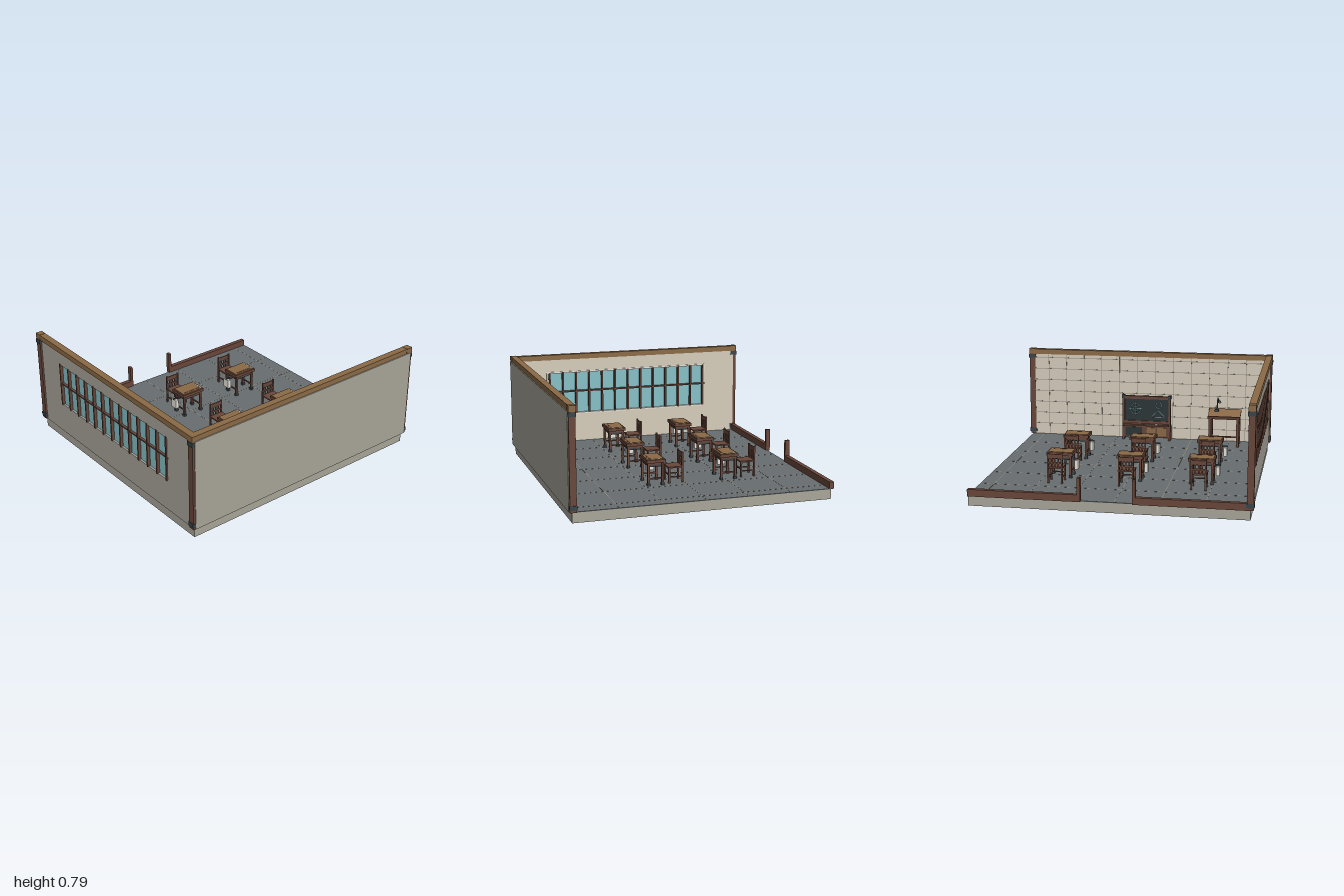
import * as THREE from 'three';

const mat = (name, color, side = THREE.FrontSide) => {
  const m = new THREE.MeshStandardMaterial({ color, side });
  m.name = name;
  return m;
};

export function createModel() {
  const stone = mat('grey stone', 0xa9a69a), plaster = mat('cream plaster', 0xd6cdbb);
  const slate = mat('floor slate', 0x686d6f), oak = mat('oak', 0x8b6a46);
  const walnut = mat('dark walnut', 0x69473b), iron = mat('dark iron', 0x39454a);
  const glass = mat('teal glass', 0x86c0c7, THREE.DoubleSide), white = mat('white', 0xf0ece2);
  const grout = mat('grout', 0x918c82), board = mat('board black', 0x2c3536);

  const model = new THREE.Group();
  model.name = 'classroom';
  const group = (name, parent = model) => {
    const g = new THREE.Group();
    g.name = name;
    parent.add(g);
    return g;
  };
  const add = (parent, name, geo, m) => {
    const mesh = new THREE.Mesh(geo, m);
    mesh.name = name;
    parent.add(mesh);
    return mesh;
  };
  // box given by its limits on each axis
  const box = (parent, name, m, x0, x1, y0, y1, z0, z1) => {
    const mesh = add(parent, name, new THREE.BoxGeometry(x1 - x0, y1 - y0, z1 - z0), m);
    mesh.position.set((x0 + x1) / 2, (y0 + y1) / 2, (z0 + z1) / 2);
    return mesh;
  };
  // round bar between two points
  const rod = (parent, name, m, a, b, r) => {
    const p = new THREE.Vector3(...a), d = new THREE.Vector3(...b).sub(p);
    const mesh = add(parent, name, new THREE.CylinderGeometry(r, r, d.length(), 8), m);
    mesh.position.copy(p).addScaledVector(d, 0.5);
    mesh.quaternion.setFromUnitVectors(new THREE.Vector3(0, 1, 0), d.normalize());
    return mesh;
  };

  // floor slab with tile joints
  const floor = group('floor');
  box(floor, 'slab', stone, -0.97, 0.97, 0, 0.07, -0.925, 0.92);
  box(floor, 'floorTop', slate, -0.97, 0.97, 0.07, 0.075, -0.925, 0.92);
  for (let i = 0; i < 6; i++) {
    const x = -0.66 + i * 0.306, z = -0.625 + i * 0.306;
    box(floor, 'tileJoint', grout, x - 0.002, x + 0.002, 0.074, 0.0758, -0.91, 0.89);
    if (z < 0.88) box(floor, 'tileJoint', grout, -0.94, 0.97, 0.074, 0.0758, z - 0.002, z + 0.002);
  }

  // front wall: stone outside, tiled plaster inside
  const front = group('frontWall');
  box(front, 'outerFace', stone, -0.975, 0.975, 0.077, 0.748, 0.915, 0.943);
  box(front, 'innerFace', plaster, -0.965, 0.965, 0.075, 0.748, 0.893, 0.916);
  for (let y = 0.165; y < 0.74; y += 0.092)
    box(front, 'wallJoint', grout, -0.94, 0.955, y - 0.0025, y + 0.0025, 0.8915, 0.894);
  for (let i = 0; i < 12; i++) {
    const x = 0.83 - i * 0.147;
    box(front, 'wallJoint', grout, x - 0.002, x + 0.002, 0.075, 0.745, 0.8915, 0.894);
  }

  // left-hand wall with a long window opening
  const side = group('sideWall');
  const rect = (P, z0, z1, y0, y1) => {
    const p = new P();
    p.moveTo(z0, y0); p.lineTo(z1, y0); p.lineTo(z1, y1); p.lineTo(z0, y1); p.closePath();
    return p;
  };
  const pierced = (name, m, outer, inner, x, depth) => {
    const s = rect(THREE.Shape, ...outer);
    s.holes.push(rect(THREE.Path, ...inner));
    const geo = new THREE.ExtrudeGeometry(s, { depth, bevelEnabled: false });
    add(side, name, geo.rotateY(-Math.PI / 2), m).position.x = x;
  };
  const opening = [-0.655, 0.645, 0.31, 0.636];
  pierced('innerFace', plaster, [-0.925, 0.915, 0.072, 0.748], opening, -0.945, 0.016);
  pierced('outerFace', stone, [-0.925, 0.92, 0.072, 0.748], opening, -0.961, 0.017);
  pierced('windowSurround', white, [-0.668, 0.66, 0.3, 0.648], opening, -0.938, 0.009);
  box(side, 'windowPane', glass, -0.963, -0.959, 0.308, 0.638, -0.657, 0.647);
  for (let i = 0; i < 13; i++) {
    const z = 0.636 - i * 0.1075;
    box(side, 'mullion', walnut, -0.985, -0.932, 0.305, 0.645, z - 0.006, z + 0.006);
  }
  box(side, 'transom', walnut, -0.98, -0.932, 0.48, 0.49, -0.668, 0.66);

  // corner posts with iron bands, and top beams
  const frame = group('timberFrame');
  for (const [x, z] of [[-0.968, 0.915], [0.968, 0.915], [-0.968, -0.925]]) {
    box(frame, 'cornerPost', walnut, x - 0.023, x + 0.023, 0.075, 0.75, z - 0.023, z + 0.023);
    for (const y of [0.107, 0.727])
      box(frame, 'ironBand', iron, x - 0.028, x + 0.028, y - 0.015, y + 0.015, z - 0.026, z + 0.026);
    box(frame, 'postCap', oak, x - 0.025, x + 0.025, 0.744, 0.787, z - 0.024, z + 0.024);
  }
  box(frame, 'frontBeam', oak, -0.99, 0.99, 0.745, 0.785, 0.887, 0.936);
  box(frame, 'sideBeam', oak, -0.991, -0.942, 0.745, 0.785, -0.945, 0.9);

  // low rear sill with a door gap
  const sill = group('rearSill');
  for (const s of [-1, 1]) {
    const span = (name, a, b, y1) =>
      box(sill, name, walnut, Math.min(s * a, s * b), Math.max(s * a, s * b), 0.072, y1, -0.946, -0.912);
    span('sillRail', 0.18, 0.97, 0.122);
    span('doorPost', 0.178, 0.2, 0.24);
  }

  // pupil desk, centred on its top
  const makeDesk = (x, z) => {
    const g = group('pupilDesk');
    g.position.set(x, 0.075, z);
    box(g, 'topFrame', walnut, -0.096, 0.096, 0.165, 0.187, -0.069, 0.069);
    box(g, 'topPanel', oak, -0.086, 0.086, 0.18, 0.191, -0.06, 0.06);
    box(g, 'pencilGroove', walnut, -0.068, 0.068, 0.19, 0.1925, 0.034, 0.046);
    box(g, 'edgeTrim', white, 0.082, 0.086, 0.19, 0.1918, -0.058, 0.058);
    box(g, 'drawerBox', walnut, -0.08, 0.08, 0.148, 0.166, -0.058, 0.058);
    box(g, 'ironTray', iron, -0.074, 0.074, 0.134, 0.15, -0.05, 0.05);
    for (const sx of [-1, 1]) {
      for (const sz of [-1, 1]) {
        const px = sx * 0.076, pz = sz * 0.052;
        box(g, 'leg', walnut, px - 0.008, px + 0.008, 0, 0.166, pz - 0.008, pz + 0.008);
        box(g, 'ironFoot', iron, px - 0.011, px + 0.011, 0, 0.018, pz - 0.011, pz + 0.011);
      }
      box(g, 'sideRail', walnut, sx * 0.076 - 0.004, sx * 0.076 + 0.004, 0.045, 0.055, -0.05, 0.05);
    }
    // satchel on a hook
    box(g, 'satchel', white, -0.128, -0.102, 0.062, 0.13, -0.042, 0.014);
    box(g, 'satchelHook', iron, -0.132, -0.09, 0.13, 0.14, -0.018, -0.01);
  };

  // pupil chair, back towards -z
  const makeChair = (x, z) => {
    const g = group('pupilChair');
    g.position.set(x, 0.075, z);
    box(g, 'seat', walnut, -0.057, 0.057, 0.108, 0.118, -0.054, 0.056);
    for (const s of [-1, 1]) {
      const px = s * 0.05;
      box(g, 'backPost', walnut, px - 0.006, px + 0.006, 0, 0.22, -0.057, -0.045);
      box(g, 'frontLeg', walnut, px - 0.006, px + 0.006, 0, 0.11, 0.042, 0.054);
      box(g, 'sideRung', walnut, px - 0.004, px + 0.004, 0.04, 0.048, -0.05, 0.05);
    }
    box(g, 'frontRung', walnut, -0.05, 0.05, 0.055, 0.063, 0.044, 0.052);
    box(g, 'backTopRail', walnut, -0.05, 0.05, 0.182, 0.214, -0.055, -0.047);
    box(g, 'backLowRail', walnut, -0.05, 0.05, 0.143, 0.155, -0.055, -0.047);
    for (const px of [-0.024, 0, 0.024])
      box(g, 'backSlat', walnut, px - 0.005, px + 0.005, 0.118, 0.185, -0.054, -0.048);
  };
  for (const x of [-0.58, -0.067, 0.443])
    for (const z of [-0.332, 0.211]) {
      makeDesk(x, z);
      makeChair(x + 0.003, z - 0.156);
    }

  // sloping drafting table
  const table = group('draftingTable');
  const top = box(table, 'slopingTop', oak, -0.76, -0.503, 0.318, 0.332, 0.694, 0.852);
  top.rotation.x = -0.26;
  const lip = box(table, 'tableLip', walnut, -0.76, -0.503, 0.298, 0.322, 0.694, 0.702);
  lip.rotation.x = -0.26;
  for (const x of [-0.742, -0.521]) {
    box(table, 'frontLeg', walnut, x - 0.011, x + 0.011, 0.075, 0.302, 0.702, 0.724);
    box(table, 'rearLeg', walnut, x - 0.011, x + 0.011, 0.075, 0.335, 0.818, 0.84);
    box(table, 'sideRung', walnut, x - 0.006, x + 0.006, 0.118, 0.13, 0.71, 0.83);
  }
  box(table, 'backRung', walnut, -0.74, -0.52, 0.118, 0.13, 0.825, 0.835);

  // jointed desk lamp
  const lamp = group('deskLamp');
  box(lamp, 'lampBase', iron, -0.581, -0.549, 0.337, 0.353, 0.798, 0.828);
  rod(lamp, 'lowerArm', iron, [-0.565, 0.35, 0.815], [-0.57, 0.44, 0.83], 0.005);
  rod(lamp, 'upperArm', iron, [-0.57, 0.44, 0.83], [-0.588, 0.428, 0.775], 0.005);
  const shade = add(lamp, 'lampShade', new THREE.CylinderGeometry(0.007, 0.015, 0.018, 12), iron);
  shade.position.set(-0.59, 0.425, 0.768);

  // blackboard on a cabinet, facing -z
  const bb = group('blackboard');
  const cx = 0.008;
  for (const s of [-1, 1]) {
    const x = cx + s * 0.188;
    box(bb, 'upright', walnut, x - 0.009, x + 0.009, 0.075, 0.44, 0.82, 0.85);
    box(bb, 'footBlock', walnut, x - 0.009, x + 0.009, 0.075, 0.185, 0.815, 0.89);
    box(bb, 'ironCorner', iron, x - 0.011, x + 0.011, 0.415, 0.444, 0.817, 0.853);
  }
  box(bb, 'topRail', walnut, cx - 0.185, cx + 0.185, 0.412, 0.436, 0.82, 0.848);
  box(bb, 'lowRail', walnut, cx - 0.185, cx + 0.185, 0.21, 0.232, 0.82, 0.848);
  box(bb, 'panel', board, cx - 0.182, cx + 0.182, 0.228, 0.416, 0.83, 0.846);
  box(bb, 'chalkTray', walnut, cx - 0.185, cx + 0.185, 0.196, 0.208, 0.787, 0.85);
  box(bb, 'cabinet', walnut, cx - 0.182, cx + 0.182, 0.095, 0.19, 0.82, 0.885);
  box(bb, 'cabinetOpening', board, cx + 0.035, cx + 0.17, 0.105, 0.18, 0.816, 0.821);
  for (const x of [-0.04, -0.125])
    box(bb, 'cabinetDoor', oak, cx + x - 0.036, cx + x + 0.036, 0.108, 0.178, 0.816, 0.821);
  for (let i = 0; i < 3; i++)
    box(bb, 'chalk', white, cx - 0.1 + i * 0.07, cx - 0.075 + i * 0.07, 0.207, 0.212, 0.8, 0.805);

  // chalk diagrams
  const ring = (x, y, r) =>
    add(bb, 'chalkCircle', new THREE.TorusGeometry(r, 0.0025, 4, 24), glass).position.set(x, y, 0.829);
  ring(cx + 0.09, 0.33, 0.042);
  ring(cx + 0.09, 0.33, 0.018);
  ring(cx - 0.1, 0.36, 0.024);
  for (const [x0, y0, x1, y1] of [[0.04, 0.33, 0.14, 0.33], [0.09, 0.28, 0.09, 0.385],
    [-0.15, 0.265, -0.04, 0.265], [-0.15, 0.265, -0.095, 0.32], [-0.04, 0.265, -0.095, 0.32]])
    rod(bb, 'chalkLine', glass, [cx + x0, y0, 0.829], [cx + x1, y1, 0.829], 0.002);

  return model;
}
